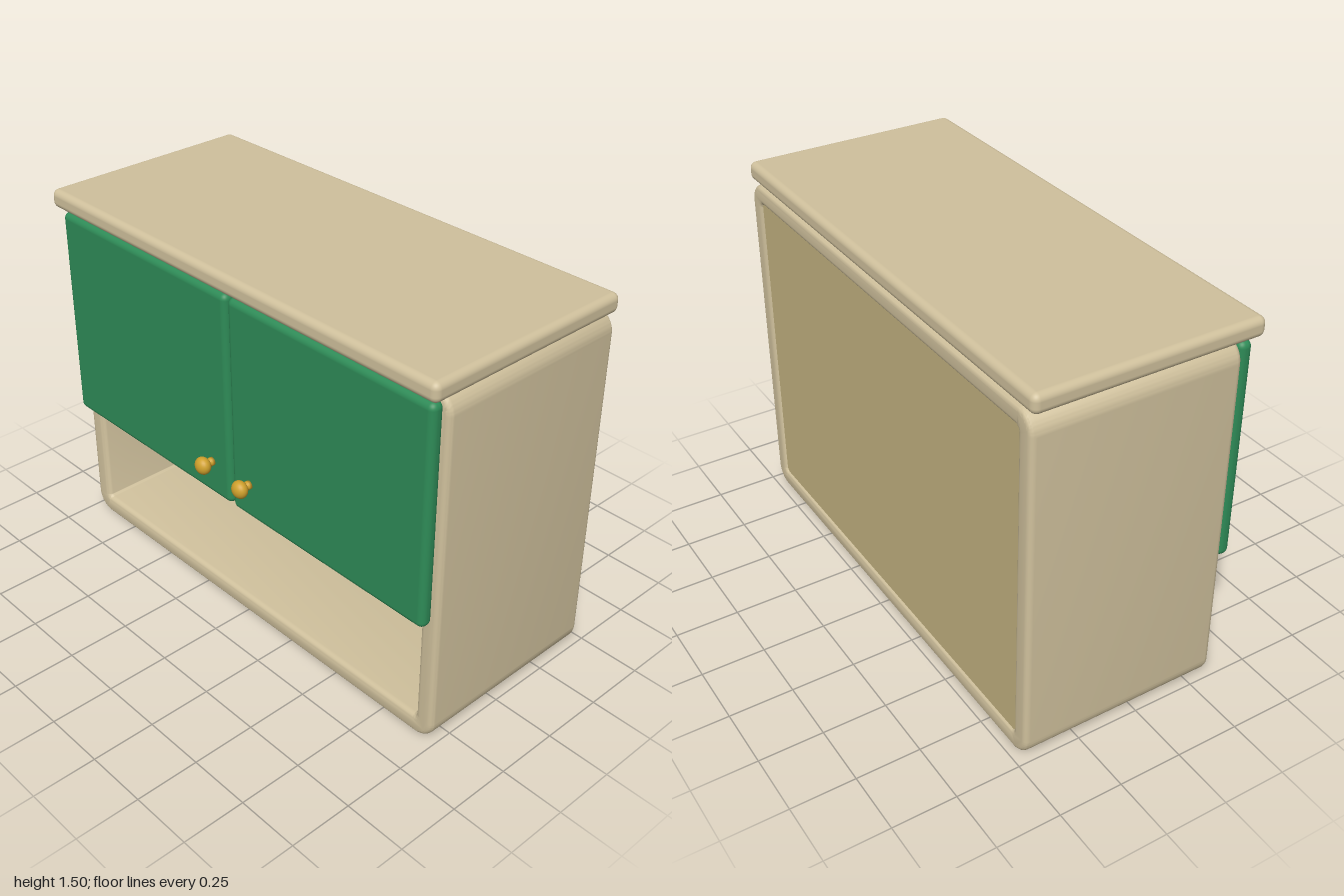
import * as THREE from 'three';
import { toCreasedNormals } from 'three/addons/utils/BufferGeometryUtils.js';
import { RoundedBoxGeometry } from 'three/addons/geometries/RoundedBoxGeometry.js';

const mat = (name, color) => new THREE.MeshStandardMaterial({ name, color });

// Rounded rectangle outline, used for shapes and holes
function roundedRect(target, x0, y0, x1, y1, r) {
  target.moveTo(x0 + r, y0);
  target.lineTo(x1 - r, y0);
  target.absarc(x1 - r, y0 + r, r, -Math.PI / 2, 0);
  target.lineTo(x1, y1 - r);
  target.absarc(x1 - r, y1 - r, r, 0, Math.PI / 2);
  target.lineTo(x0 + r, y1);
  target.absarc(x0 + r, y1 - r, r, Math.PI / 2, Math.PI);
  target.lineTo(x0, y0 + r);
  target.absarc(x0 + r, y0 + r, r, Math.PI, Math.PI * 1.5);
  return target;
}

export function createModel() {
  const group = new THREE.Group();
  const wood = mat('pale wood', 0xcfc09c);
  const panel = mat('sand panel', 0xc2b280);
  const green = mat('door green', 0x2e8b57);
  const brass = mat('brass', 0xcfa02c);

  const add = (name, geometry, material, x = 0, y = 0, z = 0) => {
    const mesh = new THREE.Mesh(geometry, material);
    mesh.name = name;
    mesh.position.set(x, y, z);
    group.add(mesh);
    return mesh;
  };
  // Rounded box given by its limits
  const slab = (name, material, x0, x1, y0, y1, z0, z1, r) =>
    add(name, new RoundedBoxGeometry(x1 - x0, y1 - y0, z1 - z0, 5, r), material,
      (x0 + x1) / 2, (y0 + y1) / 2, (z0 + z1) / 2);

  // Carcass: open rounded frame with softened front and back rims
  const bevel = 0.022;
  const outline = roundedRect(new THREE.Shape(), -0.99, 0.005, 0.99, 1.43, 0.08);
  outline.holes.push(roundedRect(new THREE.Path(), -0.912, 0.083, 0.912, 1.352, 0.015));
  const frame = new THREE.ExtrudeGeometry(outline, {
    depth: 0.81 - 2 * bevel, bevelEnabled: true, bevelSize: bevel, bevelThickness: bevel,
    bevelOffset: -bevel, bevelSegments: 5, curveSegments: 10,
  });
  add('carcass', toCreasedNormals(frame, 0.6), wood, 0, 0, -0.47 + bevel);

  add('backPanel', new THREE.BoxGeometry(1.87, 1.31, 0.03), panel, 0, 0.7175, -0.445);
  slab('shelf', wood, -0.93, 0.93, 0.515, 0.59, -0.44, 0.335, 0.02);
  slab('top', wood, -1, 1, 1.43, 1.505, -0.47, 0.42, 0.026);

  // Doors with turned knobs
  const knobProfile = [[0, 0], [0.017, 0.002], [0.017, 0.014], [0.01, 0.022], [0.01, 0.03]]
    .map(([r, h]) => new THREE.Vector2(r, h));
  for (const side of [-1, 1]) {
    const name = side < 0 ? 'right' : 'left';
    const cx = side * 0.488;
    slab(name + 'Door', green, cx - 0.484, cx + 0.484, 0.54, 1.412, 0.342, 0.397, 0.025);
    add(name + 'KnobStem', new THREE.LatheGeometry(knobProfile, 20), brass, side * 0.105, 0.69, 0.395)
      .rotation.x = Math.PI / 2;
    add(name + 'Knob', new THREE.SphereGeometry(0.035, 24, 16), brass, side * 0.105, 0.69, 0.443)
      .scale.z = 0.8;
  }
  return group;
}
